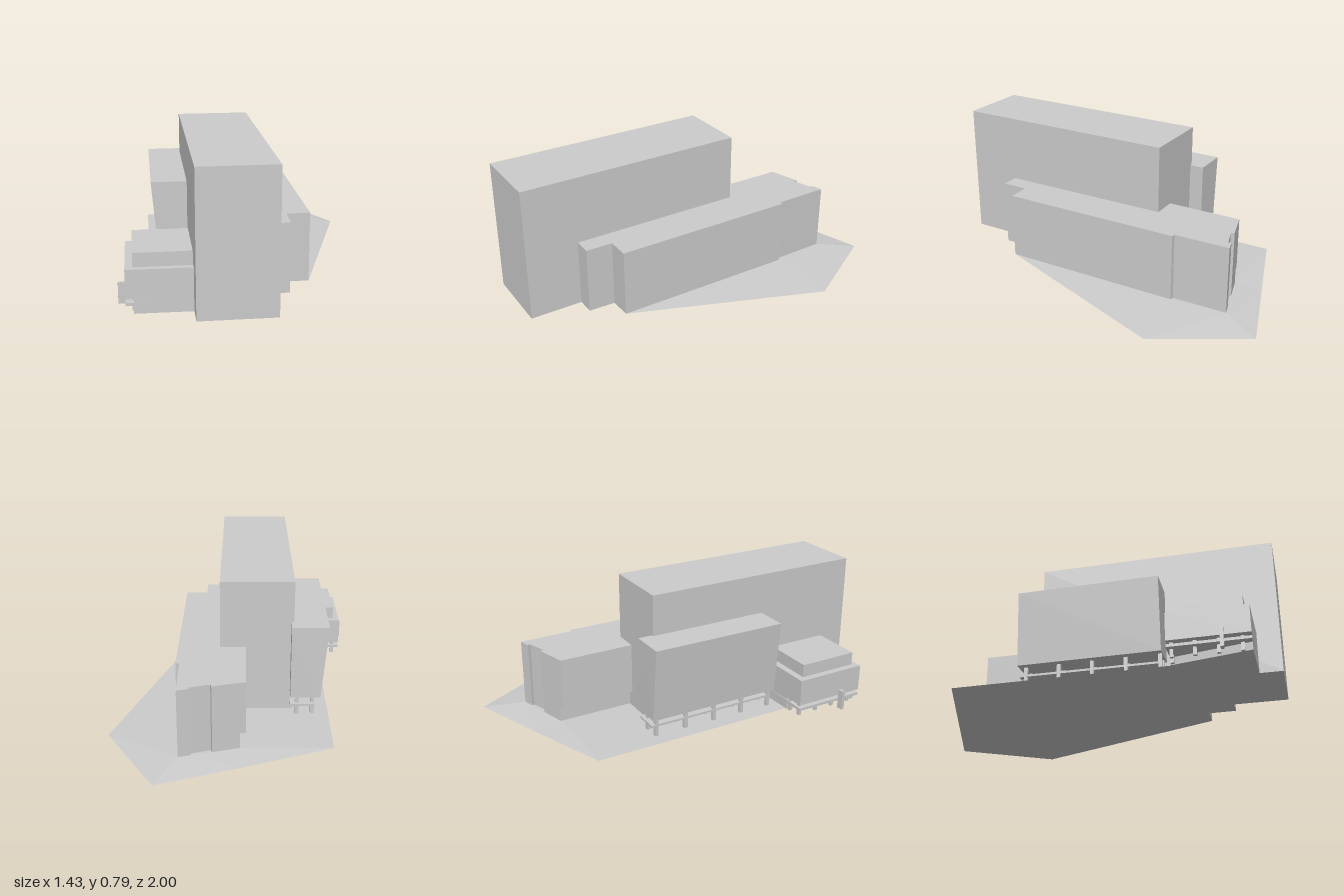
import * as THREE from 'three';

const GROUND = 0.033;

export function createModel() {
  const model = new THREE.Group();
  const material = new THREE.MeshStandardMaterial({ color: 0xcccccc, flatShading: true, side: THREE.DoubleSide });

  const add = (name, geometry, parent = model) => {
    const mesh = new THREE.Mesh(geometry, material);
    mesh.name = name;
    parent.add(mesh);
    return mesh;
  };
  const group = (name) => {
    const g = new THREE.Group();
    g.name = name;
    model.add(g);
    return g;
  };
  const outline = (points) => new THREE.Shape(points.map(([x, z]) => new THREE.Vector2(x, -z)));

  // Upright prism over an [x, z] footprint
  const prism = (points, y0, y1) =>
    new THREE.ExtrudeGeometry(outline(points), { depth: y1 - y0, bevelEnabled: false })
      .rotateX(-Math.PI / 2)
      .translate(0, y0, 0);
  const post = (name, x, z, y0, y1, size, parent) =>
    add(name, new THREE.BoxGeometry(size, y1 - y0, size).translate(x, (y0 + y1) / 2, z), parent);

  // Tall slab tower
  add('tower', prism([[-0.30, -0.30], [0.10, -0.28], [0.04, 1.0], [-0.36, 0.98]], GROUND, 0.787));

  // Low wing beside the tower, its inner wall set back at the foot
  const wing = (inset) => [
    [-0.02 + inset, -0.71 - inset * 0.2], [0.155, -0.75], [0.16, -0.73], [0.27, -0.76], [0.265, -0.775],
    [0.33, -0.79], [0.32, -0.48], [0.34, -0.475], [0.29, 0.565], [0.165, 0.56],
    [0.155, 0.71], [0.055, 0.705], [0.10, -0.28], [-0.04 + inset, -0.287],
  ];
  const wingGroup = group('wing');
  add('wingUpper', prism(wing(0), 0.12, 0.41), wingGroup);
  add('wingFoot', prism(wing(0.03), GROUND, 0.12), wingGroup);

  // Raised block whose outer wall leans outward towards the top
  const raised = group('raisedBlock');
  const block = prism([[-0.48, -0.39], [-0.28, -0.38], [-0.285, -0.30], [-0.32, 0.39], [-0.52, 0.38]], 0.145, 0.56);
  const p = block.attributes.position;
  for (let i = 0; i < p.count; i++) {
    if (p.getY(i) < 0.3 && p.getX(i) < -0.4) p.setX(i, p.getX(i) + 0.035);
  }
  block.computeVertexNormals();
  add('blockBody', block, raised);
  add('blockDeck', prism([[-0.415, -0.385], [-0.28, -0.375], [-0.32, 0.38], [-0.45, 0.37]], 0.09, 0.102), raised);
  for (let i = 0; i < 5; i++) {
    const z = -0.35 + i * 0.18;
    for (const x of [-0.405, -0.32]) post('blockStilt', x - i * 0.009, z, GROUND, 0.145, 0.02, raised);
  }

  // Stepped podium over a recessed core
  const podium = group('podium');
  const footprint = [[-0.665, 0.425], [-0.34, 0.44], [-0.355, 0.86], [-0.685, 0.84]];
  add('podiumBody', prism(footprint, 0.11, 0.26), podium);
  add('podiumRoofTier', prism([[-0.63, 0.465], [-0.34, 0.48], [-0.355, 0.825], [-0.645, 0.81]], 0.26, 0.333), podium);
  add('podiumDeck', prism(footprint, 0.075, 0.09), podium);
  add('podiumCore', prism([[-0.54, 0.435], [-0.34, 0.44], [-0.355, 0.86], [-0.645, 0.842]], GROUND, 0.11), podium);
  for (let i = 0; i < 4; i++) post('podiumStilt', -0.63 - i * 0.004, 0.45 + i * 0.115, GROUND, 0.11, 0.018, podium);
  post('podiumStilt', -0.56, 0.445, GROUND, 0.11, 0.018, podium);
  add('podiumSidePost', new THREE.BoxGeometry(0.035, 0.112, 0.018).translate(-0.698, 0.089, 0.70), podium);

  // Level ground sheet
  const site = group('ground');
  const level = new THREE.ShapeGeometry(outline([
    [-0.475, -0.735], [-0.02, -0.71], [0.33, -0.79], [0.34, -0.475], [0.29, 0.565], [0.165, 0.56],
    [0.155, 0.71], [0.055, 0.705], [0.04, 1.0], [-0.36, 0.98], [-0.355, 0.86], [-0.645, 0.842], [-0.535, 0.43],
  ]));
  add('groundLevel', level.rotateX(-Math.PI / 2).translate(0, GROUND, 0), site);

  // Ground sloping away behind and beside the wing
  const corners = [
    [-0.475, GROUND, -0.735], [-0.02, GROUND, -0.71], [0.33, GROUND, -0.79], [0.34, GROUND, -0.475],
    [0.29, GROUND, 0.565], [0, 0.014, -0.87], [0.45, 0.004, -1], [0.71, 0, -0.5],
  ];
  const slope = new THREE.BufferGeometry();
  slope.setAttribute('position', new THREE.Float32BufferAttribute(corners.flat(), 3));
  slope.setIndex([0, 1, 5, 1, 2, 5, 5, 2, 6, 2, 7, 6, 2, 3, 7, 3, 4, 7]);
  const flat = slope.toNonIndexed();
  flat.computeVertexNormals();
  add('groundSlope', flat, site);

  return model;
}
